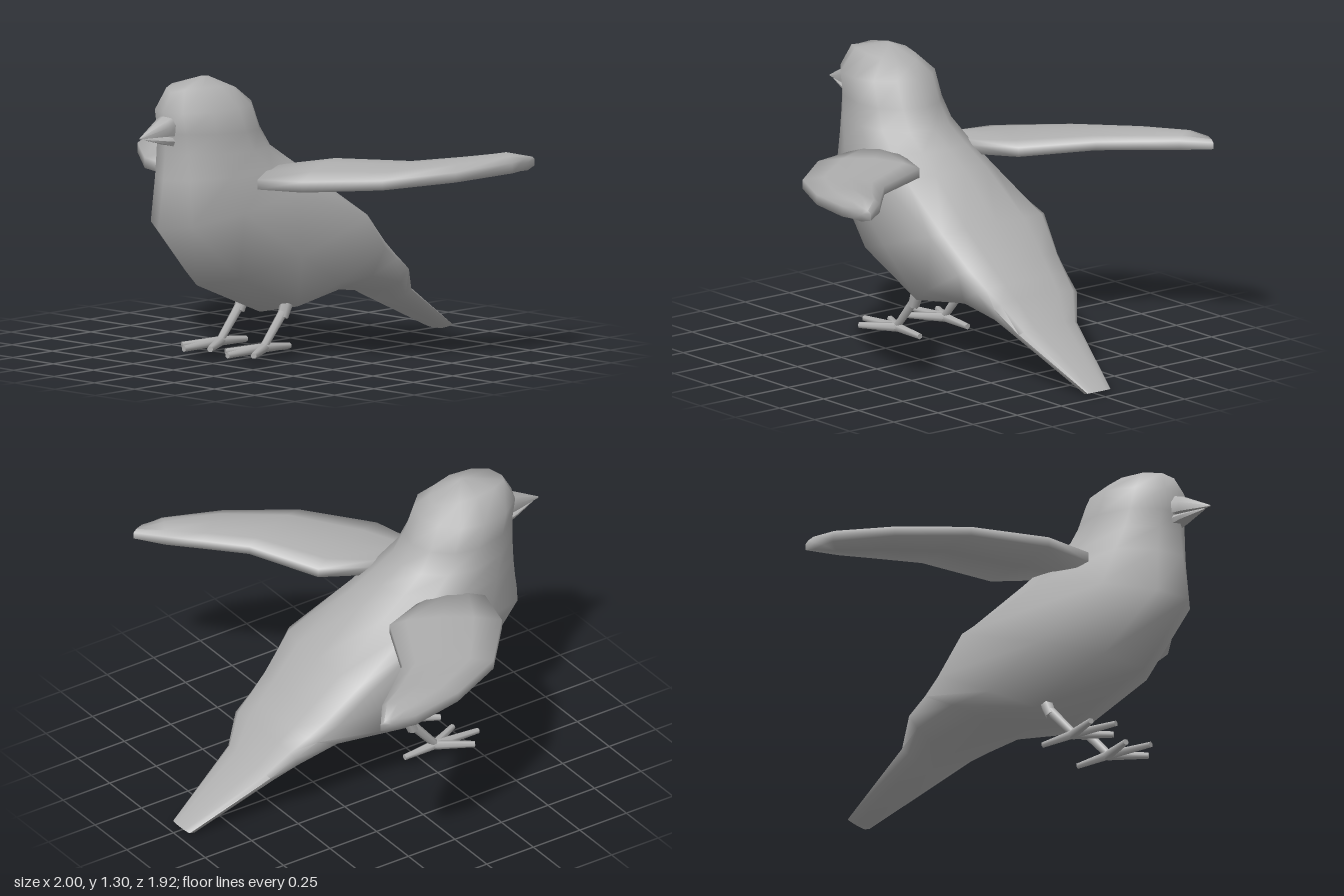
import * as THREE from 'three';
import { toCreasedNormals } from 'three/addons/utils/BufferGeometryUtils.js';

const V = (x, y, z) => new THREE.Vector3(x, y, z);

// Skin a list of closed rings, cap both ends and make the faces point outwards
function loft(rings, crease) {
  const n = rings[0].length, pos = [], idx = [];
  rings.forEach(r => r.forEach(p => pos.push(p.x, p.y, p.z)));
  for (let i = 0; i < rings.length - 1; i++) {
    for (let j = 0; j < n; j++) {
      const a = i * n + j, b = i * n + (j + 1) % n;
      idx.push(a, b, b + n, a, b + n, a + n);
    }
  }
  [0, rings.length - 1].forEach(k => {
    const c = pos.length / 3;
    const m = rings[k].reduce((s, p) => s.add(p), V(0, 0, 0)).divideScalar(n);
    pos.push(m.x, m.y, m.z);
    for (let j = 0; j < n; j++) {
      const a = k * n + j, b = k * n + (j + 1) % n;
      if (k === 0) idx.push(c, b, a); else idx.push(c, a, b);
    }
  });
  const at = i => V(pos[3 * i], pos[3 * i + 1], pos[3 * i + 2]);
  let volume = 0;
  for (let i = 0; i < idx.length; i += 3) volume += at(idx[i]).dot(at(idx[i + 1]).cross(at(idx[i + 2])));
  if (volume < 0) idx.reverse();
  const g = new THREE.BufferGeometry();
  g.setAttribute('position', new THREE.Float32BufferAttribute(pos, 3));
  g.setIndex(idx);
  return toCreasedNormals(g, crease);
}

// Slanted body ring: back point, front point, half width, place of the widest point,
// power of the front half (over 1 is pointed, under 1 is boxy), lift of the sides
function bodyRing([bz, by, fz, fy, w, m, power, lift = 0]) {
  const ring = [];
  for (let j = 0; j < 12; j++) {
    const a = j * Math.PI / 6, c = Math.cos(a), s = j % 6 ? Math.sin(a) : 0;
    const t = c > 0 ? m * (1 - c) : m - (1 - m) * c;
    const x = Math.sign(s) * w * Math.pow(Math.abs(s), c < 0 ? power : 1);
    ring.push(V(x, by + (fy - by) * t + lift * Math.abs(s), bz + (fz - bz) * t));
  }
  return ring;
}

// Tapered round limb between two points
function limb(a, b, ra, rb, material) {
  const d = b.clone().sub(a);
  const mesh = new THREE.Mesh(new THREE.CylinderGeometry(rb, ra, d.length(), 6), material);
  mesh.position.copy(a).addScaledVector(d, 0.5);
  mesh.quaternion.setFromUnitVectors(V(0, 1, 0), d.normalize());
  return mesh;
}

export function createModel() {
  const model = new THREE.Group();
  const grey = new THREE.MeshStandardMaterial({ color: 0xb0b0b0 });
  grey.name = 'plain grey';
  const add = (name, geometry) => {
    const mesh = new THREE.Mesh(geometry, grey);
    mesh.name = name;
    model.add(mesh);
  };

  // Head, trunk and tail in one skin, from crown to tail tip
  add('body', loft([
    [0.53, 1.3, 0.57, 1.303, 0.01, 0.5, 1],
    [0.39, 1.225, 0.765, 1.25, 0.11, 0.45, 1, 0.03],
    [0.33, 1.18, 0.815, 1.165, 0.2, 0.42, 1.2],
    [0.28, 1.06, 0.8, 1.07, 0.207, 0.42, 1.2],
    [0.22, 0.97, 0.8, 0.98, 0.225, 0.42, 1.2],
    [0.11, 0.9, 0.812, 0.86, 0.25, 0.38, 1.2],
    [0, 0.83, 0.845, 0.64, 0.28, 0.28, 1.15],
    [-0.23, 0.635, 0.6, 0.365, 0.325, 0.09, 0.95],
    [-0.38, 0.5, 0.2, 0.2, 0.283, 0.13, 0.75],
    [-0.46, 0.425, -0.15, 0.265, 0.258, 0.18, 0.8],
    [-0.52, 0.37, -0.45, 0.22, 0.235, 0.22, 0.8],
    [-0.61, 0.25, -0.55, 0.172, 0.165, 0.3, 0.7],
    [-0.965, 0.02, -0.9, 0.002, 0.065, 0.15, 0.5],
  ].map(bodyRing), 1.4));

  // Beak halves: [z, half width, top, bottom]
  const beakRing = ([z, w, top, bottom]) => {
    const mid = (top + bottom) / 2;
    return [V(0, top, z), V(w * 0.75, top * 0.7 + mid * 0.3, z), V(w, mid, z), V(w * 0.8, bottom, z),
      V(-w * 0.8, bottom, z), V(-w, mid, z), V(-w * 0.75, top * 0.7 + mid * 0.3, z)];
  };
  add('upperBeak', loft([[0.77, 0.052, 1.165, 1.06], [0.82, 0.046, 1.145, 1.062], [0.96, 0.003, 1.068, 1.062]].map(beakRing), 0.9));
  add('lowerBeak', loft([[0.77, 0.045, 1.058, 1.01], [0.82, 0.038, 1.058, 1.025], [0.93, 0.004, 1.06, 1.054]].map(beakRing), 0.9));

  // Wing sections: leading x, z, trailing x, z and thickness
  const wing = [
    [0.27, 0.49, 0.18, 0.19, 1],
    [0.49, 0.43, 0.28, -0.03, 1.05],
    [0.76, 0.2, 0.6, -0.18, 0.95],
    [0.92, -0.1, 0.74, -0.335, 1],
    [0.998, -0.38, 0.85, -0.46, 1.05],
    [0.99, -0.44, 0.97, -0.55, 0.75],
  ];
  // Cross-section: place along the chord, height over the tilted underside
  const blade = [[0, 0.005], [0, 0.05], [0.25, 0.071], [0.55, 0.08], [0.85, 0.068], [1, 0.05], [1, 0.01], [0.5, -0.004]];
  for (const side of [1, -1]) {
    const word = side > 0 ? 'left' : 'right';
    add(word + 'Wing', loft(wing.map(([lx, lz, tx, tz, k]) => blade.map(([t, h]) => {
      const z = lz + (tz - lz) * t;
      return V(side * (lx + (tx - lx) * t), 0.808 + (0.49 - z) * 0.062 + h * k, z);
    })), 1.8));

    // Leg with a thigh knob, shin, three front toes and one hind toe
    const leg = new THREE.Group();
    leg.name = word + 'Leg';
    const x = side * 0.135;
    const ankle = V(x, 0.07, 0.315);
    leg.add(limb(V(x, 0.25, 0.17), V(x, 0.19, 0.195), 0.03, 0.026, grey));
    leg.add(limb(V(x, 0.22, 0.185), ankle, 0.022, 0.018, grey));
    for (const [dx, z] of [[0, 0.545], [-0.085, 0.47], [0.09, 0.47], [0, 0.15]]) {
      leg.add(limb(V(x, 0.067, 0.31), V(x + dx, 0.058, z), 0.022, 0.014, grey));
    }
    model.add(leg);
  }
  return model;
}
